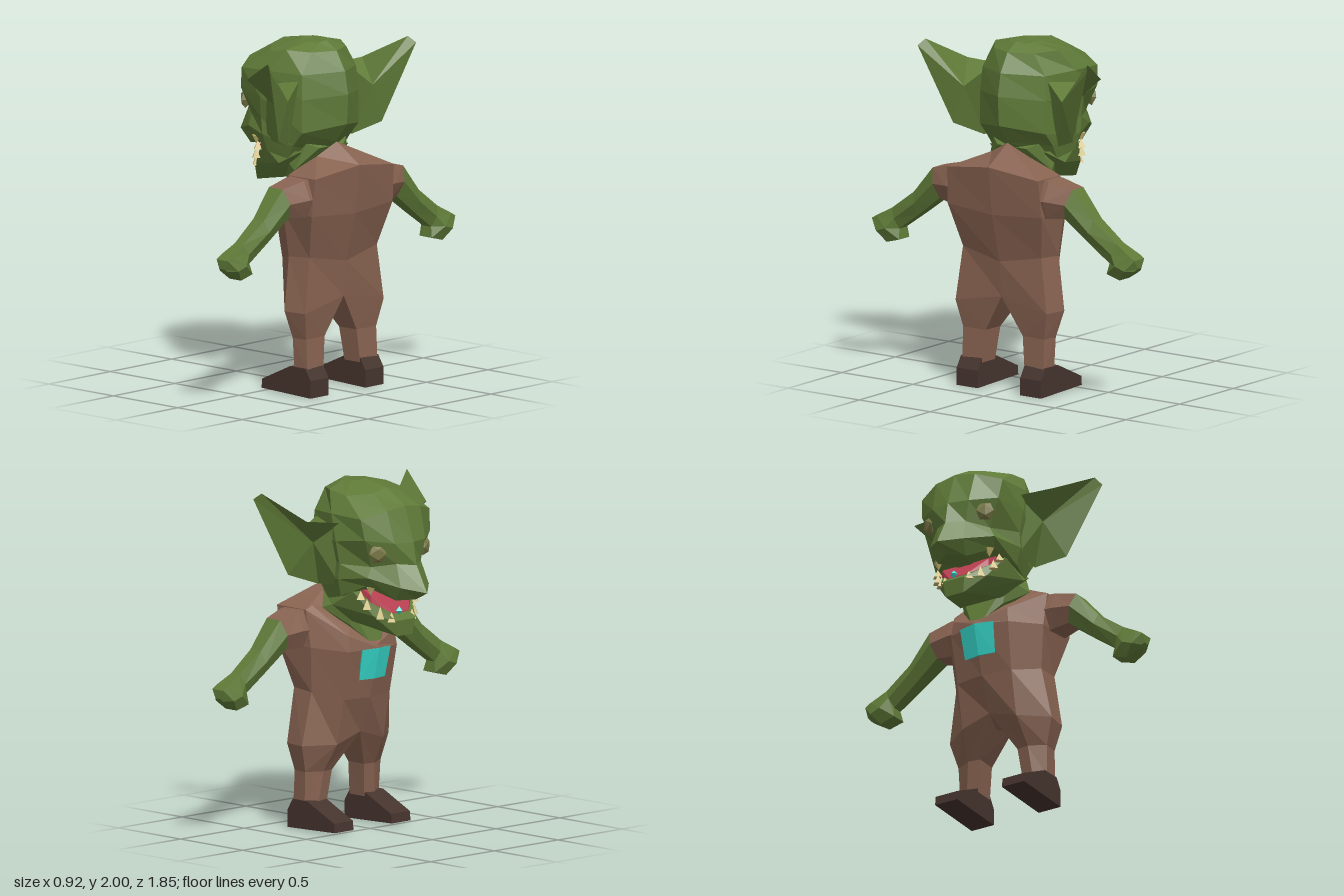
import * as THREE from 'three';
import { ConvexGeometry } from 'three/addons/geometries/ConvexGeometry.js';

const M = {};
for (const [name, hex] of Object.entries({
  skin: 0x5f7a38, cloth: 0x886351, boot: 0x46342e, teal: 0x38dccf,
  eye: 0x7c7a48, tooth: 0xc9b870, mouth: 0xb83e50 })) {
  M[name] = new THREE.MeshStandardMaterial({ color: hex });
  M[name].name = name;
}

// Flat-faced mesh from points and triangles; winding is turned outward by signed volume
function solid(name, mat, pts, tris) {
  const c = new THREE.Vector3(), v = pts.map(p => new THREE.Vector3(...p));
  v.forEach(p => c.addScaledVector(p, 1 / v.length));
  let vol = 0;
  for (const [a, b, d] of tris)
    vol += v[a].clone().sub(c).dot(v[b].clone().sub(c).cross(v[d].clone().sub(c)));
  const pos = tris.flatMap(t => (vol < 0 ? [t[0], t[2], t[1]] : t).flatMap(i => pts[i]));
  const g = new THREE.BufferGeometry();
  g.setAttribute('position', new THREE.Float32BufferAttribute(pos, 3));
  g.computeVertexNormals();
  const m = new THREE.Mesh(g, mat);
  m.name = name;
  return m;
}

// Skin closed rings together and cap both ends
function loft(name, mat, rings) {
  const n = rings[0].length, pts = rings.flat(), tris = [];
  for (let r = 0; r < rings.length - 1; r++)
    for (let i = 0; i < n; i++) {
      const a = r * n + i, b = r * n + (i + 1) % n;
      tris.push([a, b, b + n], [a, b + n, a + n]);
    }
  for (const r of [0, rings.length - 1]) {
    const mid = [0, 1, 2].map(k => rings[r].reduce((s, p) => s + p[k], 0) / n);
    const c = pts.push(mid) - 1;
    for (let i = 0; i < n; i++) {
      const a = r * n + i, b = r * n + (i + 1) % n;
      tris.push(r ? [a, b, c] : [b, a, c]);
    }
  }
  return solid(name, mat, pts, tris);
}

// Half ring (front centre to back centre) completed across z = 0
const whole = half => [...half, ...half.slice(1, -1).reverse().map(([x, y, z]) => [x, y, -z])];
const mirrored = pts => pts.flatMap(([x, y, z]) => [[x, y, z], [x, y, -z]]);
const onSide = (pts, s) => pts.map(([x, y, z]) => [x, y, z * s]);
function hull(name, mat, pts) {
  const m = new THREE.Mesh(new ConvexGeometry(pts.map(p => new THREE.Vector3(...p))), mat);
  m.name = name;
  return m;
}

// Cupped ear: a front hollow and a rear ridge fanned to a shared outer edge
function buildEar(s) {
  const pts = [[-0.04, 1.78, 0.27], [0.03, 1.805, 0.47], [0.29, 1.945, 0.57], [0.33, 1.91, 0.595],
    [0.23, 1.47, 0.42], [0.15, 1.41, 0.26], [-0.02, 1.43, 0.26], [0.2, 1.8, 0.21],
    [0.11, 1.66, 0.34], [0.23, 1.69, 0.345]];
  const fan = (hub, loop) => loop.map((a, i) => [hub, a, loop[(i + 1) % loop.length]]);
  return solid('ear', M.skin, onSide(pts, s), [
    ...fan(8, [0, 1, 2, 3, 4, 5, 6]),
    ...fan(9, [7, 5, 4, 3, 2, 1, 0]),
    [0, 6, 5], [0, 5, 7]]);
}

function buildHead() {
  const g = new THREE.Group();
  g.name = 'head';
  // Skull and snout, from crown down to upper lip
  const upper = [
    [[0.04, 1.995, 0], [0.05, 1.99, 0.05], [0.08, 1.985, 0.08], [0.14, 1.985, 0.08], [0.19, 1.98, 0.05], [0.2, 1.99, 0]],
    [[-0.13, 1.965, 0], [-0.13, 1.94, 0.1], [-0.03, 1.93, 0.22], [0.1, 1.95, 0.22], [0.22, 1.94, 0.14], [0.28, 1.94, 0]],
    [[-0.28, 1.88, 0], [-0.27, 1.86, 0.13], [-0.2, 1.82, 0.27], [0.02, 1.83, 0.285], [0.22, 1.82, 0.22], [0.345, 1.83, 0]],
  ];
  const lower = [
    [[-0.35, 1.68, 0], [-0.32, 1.68, 0.12], [-0.22, 1.7, 0.255], [-0.03, 1.68, 0.3], [0.23, 1.68, 0.23], [0.37, 1.7, 0]],
    [[-0.375, 1.55, 0], [-0.31, 1.56, 0.095], [-0.2, 1.54, 0.185], [-0.04, 1.55, 0.28], [0.23, 1.49, 0.23], [0.36, 1.53, 0]],
    [[-0.46, 1.4, 0], [-0.36, 1.43, 0.11], [-0.2, 1.48, 0.215], [-0.03, 1.46, 0.28], [0.16, 1.41, 0.23], [0.275, 1.42, 0]],
    [[-0.37, 1.355, 0], [-0.3, 1.35, 0.09], [-0.16, 1.425, 0.19], [-0.02, 1.36, 0.25], [0.11, 1.33, 0.22], [0.2, 1.34, 0]],
  ];
  g.add(loft('skull', M.skin, [...upper, ...lower].map(whole)));
  g.add(hull('lowerJaw', M.skin, mirrored([[-0.28, 1.14, 0.06], [-0.29, 1.23, 0.07], [-0.19, 1.255, 0.16],
    [-0.09, 1.39, 0.22], [0.0, 1.2, 0.14], [0.06, 1.3, 0.24], [0.18, 1.37, 0.2]])));
  g.add(hull('tongue', M.mouth, mirrored([[-0.25, 1.24, 0.06], [-0.245, 1.27, 0.06], [-0.175, 1.27, 0.155],
    [-0.165, 1.37, 0.155], [-0.1, 1.41, 0.175], [-0.1, 1.3, 0.17]])));
  for (const s of [1, -1]) {
    // Teeth: [x, y, z, height], negative height hangs from the upper lip
    for (const [x, y, z, h] of [[-0.255, 1.25, 0.08, 0.055], [-0.215, 1.275, 0.13, 0.07],
      [-0.165, 1.325, 0.185, 0.06], [-0.135, 1.375, 0.205, 0.05], [-0.18, 1.395, 0.17, -0.05]]) {
      const t = new THREE.Mesh(new THREE.ConeGeometry(0.032, Math.abs(h), 4).toNonIndexed(), M.tooth);
      t.geometry.computeVertexNormals();
      t.name = 'tooth';
      t.position.set(x, y, z * s);
      if (h < 0) t.rotation.x = Math.PI;
      g.add(t);
    }
    // Flattened eye set in the slope under the brow
    const eye = new THREE.Mesh(new THREE.IcosahedronGeometry(0.058, 0), M.eye);
    eye.name = 'eye';
    eye.position.set(-0.25, 1.622, 0.185 * s);
    eye.lookAt(-1.25, 1.52, 0.8 * s);
    eye.scale.z = 0.5;
    g.add(eye, buildEar(s));
  }
  const gem = new THREE.Mesh(new THREE.OctahedronGeometry(0.024), M.teal);
  gem.name = 'mouthGem';
  gem.position.set(-0.255, 1.28, -0.02);
  g.add(gem);
  return g;
}

// Lower edge of the tunic, shared with the tops of the trouser legs
const hem = [[0.08, 0.545, 0], [0.08, 0.49, 0.18], [0.2, 0.485, 0.34], [0.34, 0.485, 0.32], [0.335, 0.545, 0]];

function buildBody() {
  const g = new THREE.Group();
  g.name = 'body';
  // Tunic, from sloping neckline down to the crotch
  g.add(loft('tunic', M.cloth, [
    [[-0.05, 1.07, 0], [0.02, 1.15, 0.14], [0.2, 1.28, 0.26], [0.25, 1.35, 0.13], [0.28, 1.42, 0]],
    [[-0.06, 1.06, 0], [-0.01, 1.12, 0.18], [0.2, 1.26, 0.31], [0.42, 1.265, 0.32], [0.46, 1.31, 0]],
    [[-0.07, 1.04, 0], [-0.02, 1.03, 0.19], [0.16, 1.05, 0.31], [0.4, 1.05, 0.33], [0.425, 1.03, 0]],
    [[0, 0.75, 0], [0.03, 0.75, 0.18], [0.18, 0.79, 0.285], [0.33, 0.8, 0.275], [0.355, 0.75, 0]],
    hem,
  ].map(whole)));
  g.add(hull('neck', M.skin, mirrored([[-0.045, 1.07, 0.04], [0.02, 1.17, 0.13], [0.16, 1.27, 0.22],
    [0.24, 1.39, 0.1], [0.03, 1.32, 0.16], [0.2, 1.42, 0.16]])));
  g.add(hull('chestPatch', M.teal, mirrored([[-0.077, 1.04, 0], [-0.052, 1.037, 0.11], [-0.034, 0.86, 0],
    [-0.016, 0.86, 0.1], [-0.025, 1.03, 0.1], [-0.01, 0.87, 0.08]])));
  return g;
}

// Six-sided arm ring from its top and bottom points (z, y) and depth in x
const armRing = (zt, yt, zb, yb, x, hx, s) => {
  const at = (k, t) => [x + k * hx, yb + (yt - yb) * t, (zb + (zt - zb) * t) * s];
  return [at(1, 0.5), at(0.6, 1), at(-0.6, 1), at(-1, 0.5), at(-0.6, 0), at(0.6, 0)];
};

function buildLimbs(s) {
  const g = new THREE.Group();
  g.name = s > 0 ? 'limbsPositiveZ' : 'limbsNegativeZ';
  const cuff = armRing(0.49, 1.22, 0.44, 1.05, 0.275, 0.09, s);
  g.add(loft('sleeve', M.cloth, [armRing(0.28, 1.26, 0.28, 1.03, 0.29, 0.12, s),
    armRing(0.35, 1.255, 0.34, 1.04, 0.29, 0.115, s), cuff]));
  g.add(loft('arm', M.skin, [cuff,
    armRing(0.63, 1.06, 0.6, 0.93, 0.275, 0.07, s),
    armRing(0.79, 0.945, 0.74, 0.83, 0.275, 0.055, s),
    armRing(0.89, 0.89, 0.73, 0.77, 0.275, 0.08, s),
    armRing(0.925, 0.87, 0.82, 0.745, 0.275, 0.075, s),
    armRing(0.925, 0.82, 0.9, 0.79, 0.275, 0.03, s)]));
  g.add(loft('trouserLeg', M.cloth, [hem,
    [[0.18, 0.33, 0.125], [0.17, 0.33, 0.2], [0.22, 0.33, 0.295], [0.315, 0.33, 0.285], [0.31, 0.33, 0.13]],
    [[0.2, 0.14, 0.148], [0.19, 0.14, 0.22], [0.23, 0.14, 0.29], [0.325, 0.14, 0.285], [0.32, 0.14, 0.15]],
  ].map(r => onSide(r, s))));
  // Wedge boot with a low toe
  const side = [[0.36, 0], [0.36, 0.1], [0.32, 0.165], [0.2, 0.165], [-0.015, 0.065], [-0.02, 0.012]];
  g.add(hull('boot', M.boot, side.flatMap(([x, y]) => [[x, y, 0.15 * s], [x, y, 0.297 * s]])));
  return g;
}

export function createModel() {
  const model = new THREE.Group();
  model.name = 'goblin';
  model.add(buildHead(), buildBody(), buildLimbs(1), buildLimbs(-1));
  return model;
}
